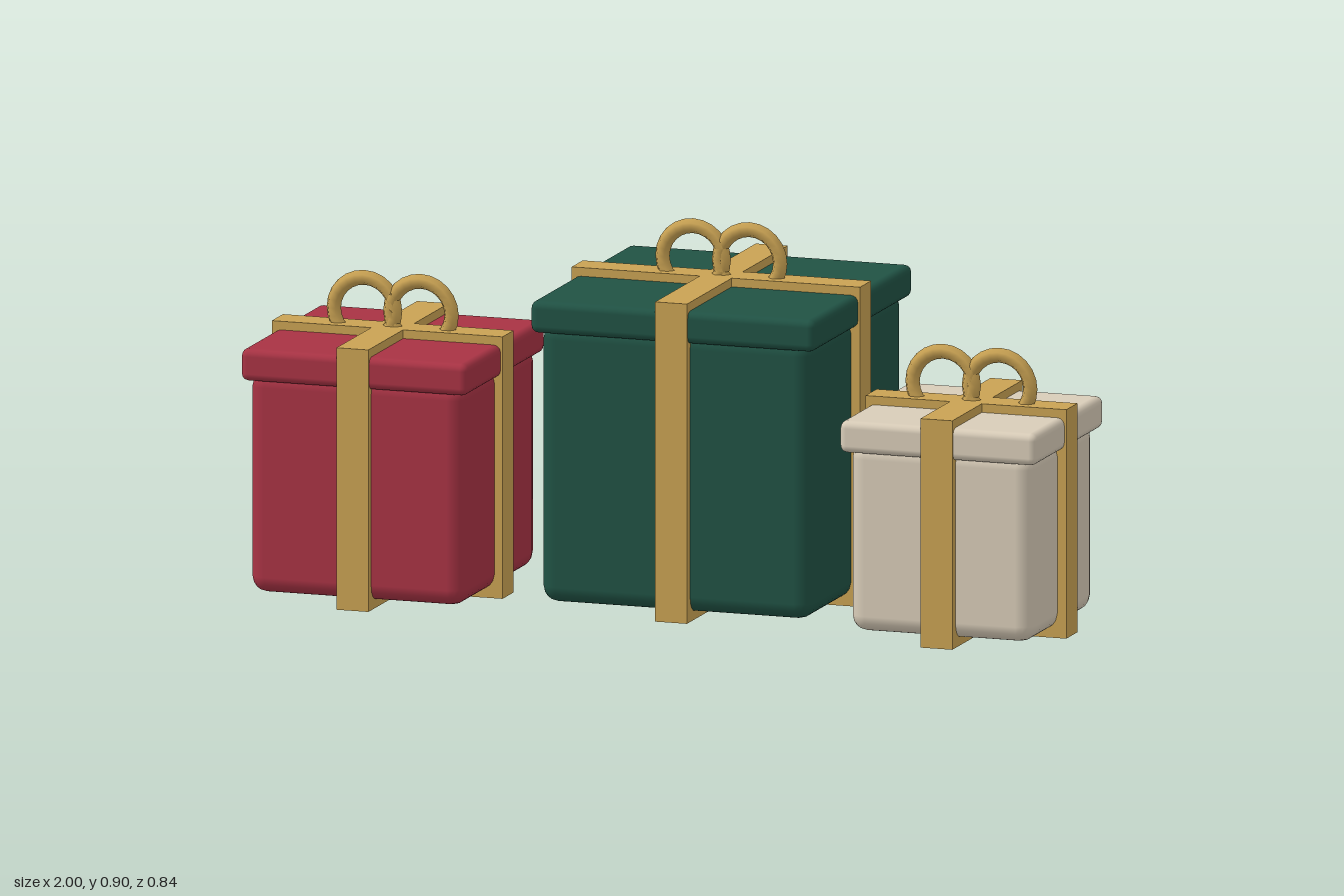
import * as THREE from 'three';
import { RoundedBoxGeometry } from 'three/addons/geometries/RoundedBoxGeometry.js';

const RIBBON_WIDTH = 0.08;
const gold = new THREE.MeshStandardMaterial({ color: 0xc9a253 });

function addMesh(parent, name, geometry, material, x, y, z) {
  const mesh = new THREE.Mesh(geometry, material);
  mesh.name = name;
  mesh.position.set(x, y, z);
  parent.add(mesh);
}

// One wrapped gift: a cube body, overhanging lid, crossed ribbon and bow
function createGift({ name, color, x, z, body, lid, ribbon }) {
  const gift = new THREE.Group();
  gift.name = name;
  gift.position.set(x, 0, z);
  const paper = new THREE.MeshStandardMaterial({ color });
  const bodyTop = 0.02 + body;
  const top = bodyTop + 0.075;

  addMesh(gift, 'body', new RoundedBoxGeometry(body, body, body, 2, 0.04), paper, 0, 0.02 + body / 2, 0);
  addMesh(gift, 'lid', new RoundedBoxGeometry(lid, 0.078, lid, 2, 0.018), paper, 0, bodyTop + 0.015, 0);

  // Ribbon bands run right around the gift, including underneath
  addMesh(gift, 'ribbonAcross', new THREE.BoxGeometry(ribbon, top, RIBBON_WIDTH), gold, 0, top / 2, 0);
  addMesh(gift, 'ribbonFrontToBack', new THREE.BoxGeometry(RIBBON_WIDTH, top, ribbon), gold, 0, top / 2, 0);

  // Two overlapping bow loops, sunk into the ribbon
  for (const side of [-1, 1]) {
    addMesh(gift, side < 0 ? 'bowLoopRight' : 'bowLoopLeft',
      new THREE.TorusGeometry(0.077, 0.018, 6, 24), gold, side * 0.071, top + 0.035, 0);
  }
  return gift;
}

export function createModel() {
  const model = new THREE.Group();
  model.name = 'giftBoxes';
  const gifts = [
    { name: 'redGift', color: 0xa83344, x: -0.71, z: 0.13, body: 0.54, lid: 0.57, ribbon: 0.58 },
    { name: 'greenGift', color: 0x205244, x: 0.05, z: -0.06, body: 0.68, lid: 0.715, ribbon: 0.725 },
    { name: 'creamGift', color: 0xd8ccb8, x: 0.745, z: 0.13, body: 0.46, lid: 0.495, ribbon: 0.505 },
  ];
  for (const gift of gifts) model.add(createGift(gift));
  return model;
}
